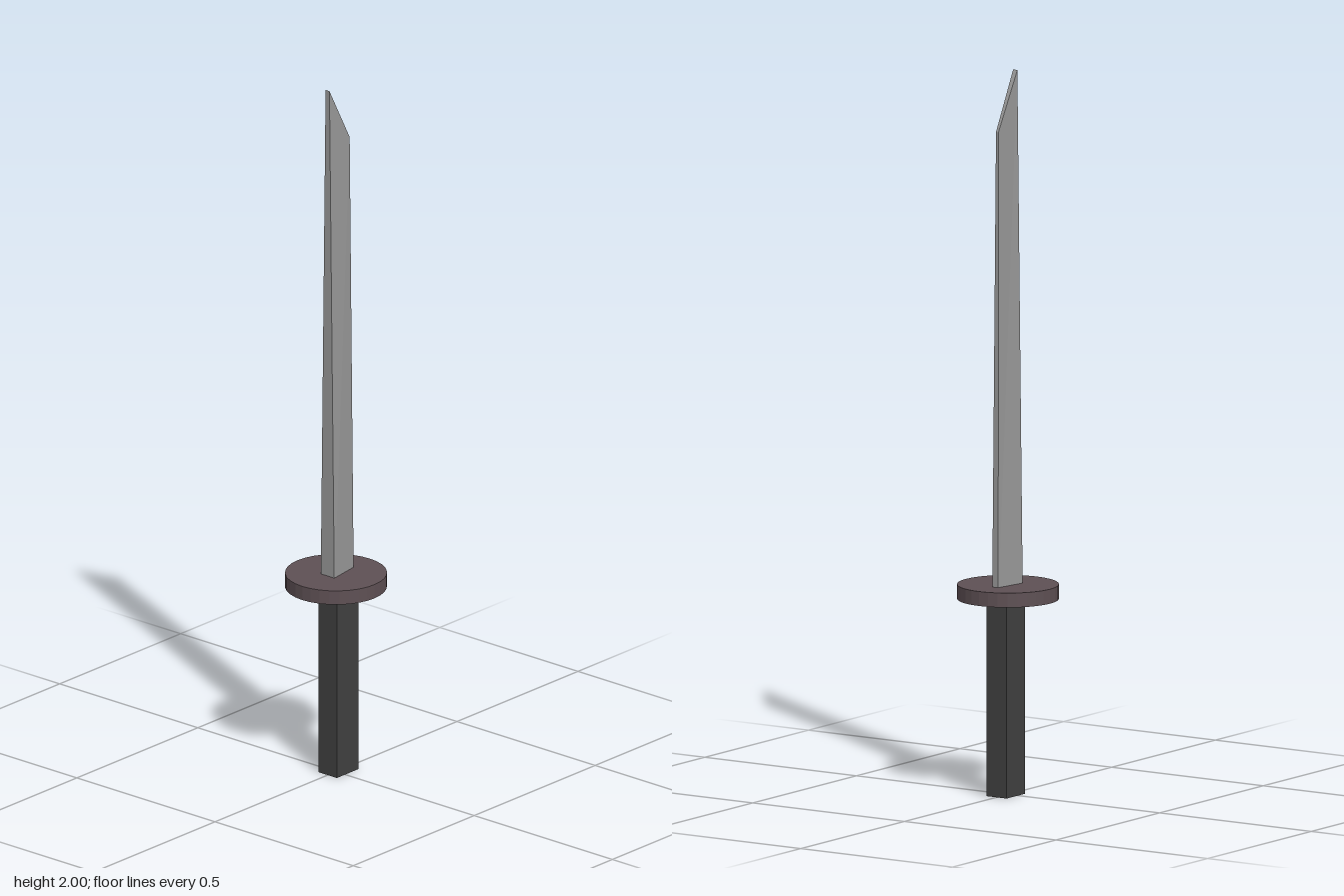
import * as THREE from 'three';

function part(name, geometry, color, y, z = 0) {
  const mesh = new THREE.Mesh(geometry, new THREE.MeshStandardMaterial({ color, flatShading: true }));
  mesh.name = name;
  mesh.position.set(0, y, z);
  return mesh;
}

// Blade: a box reshaped into a tapering wedge with a slanted tip
function bladeGeometry() {
  const geometry = new THREE.BoxGeometry(2, 2, 2);
  const p = geometry.attributes.position;
  for (let i = 0; i < p.count; i++) {
    const top = p.getY(i) > 0;
    const front = p.getZ(i) > 0;
    const halfWidth = top ? (front ? 0.007 : 0.004) : (front ? 0.025 : 0.01);
    const y = top ? (front ? 2 : 1.84) : 0.53;
    const z = front ? 0.035 : (top ? -0.052 : -0.062);
    p.setXYZ(i, p.getX(i) * halfWidth, y, z);
  }
  geometry.computeVertexNormals();
  return geometry;
}

export function createModel() {
  const group = new THREE.Group();
  group.name = 'sword';
  group.add(
    part('blade', bladeGeometry(), 0x989898, 0),
    part('guard', new THREE.CylinderGeometry(0.139, 0.139, 0.04, 32), 0x5e5054, 0.562),
    part('handle', new THREE.BoxGeometry(0.066, 0.55, 0.089), 0x404040, 0.275, -0.0105)
  );
  return group;
}
